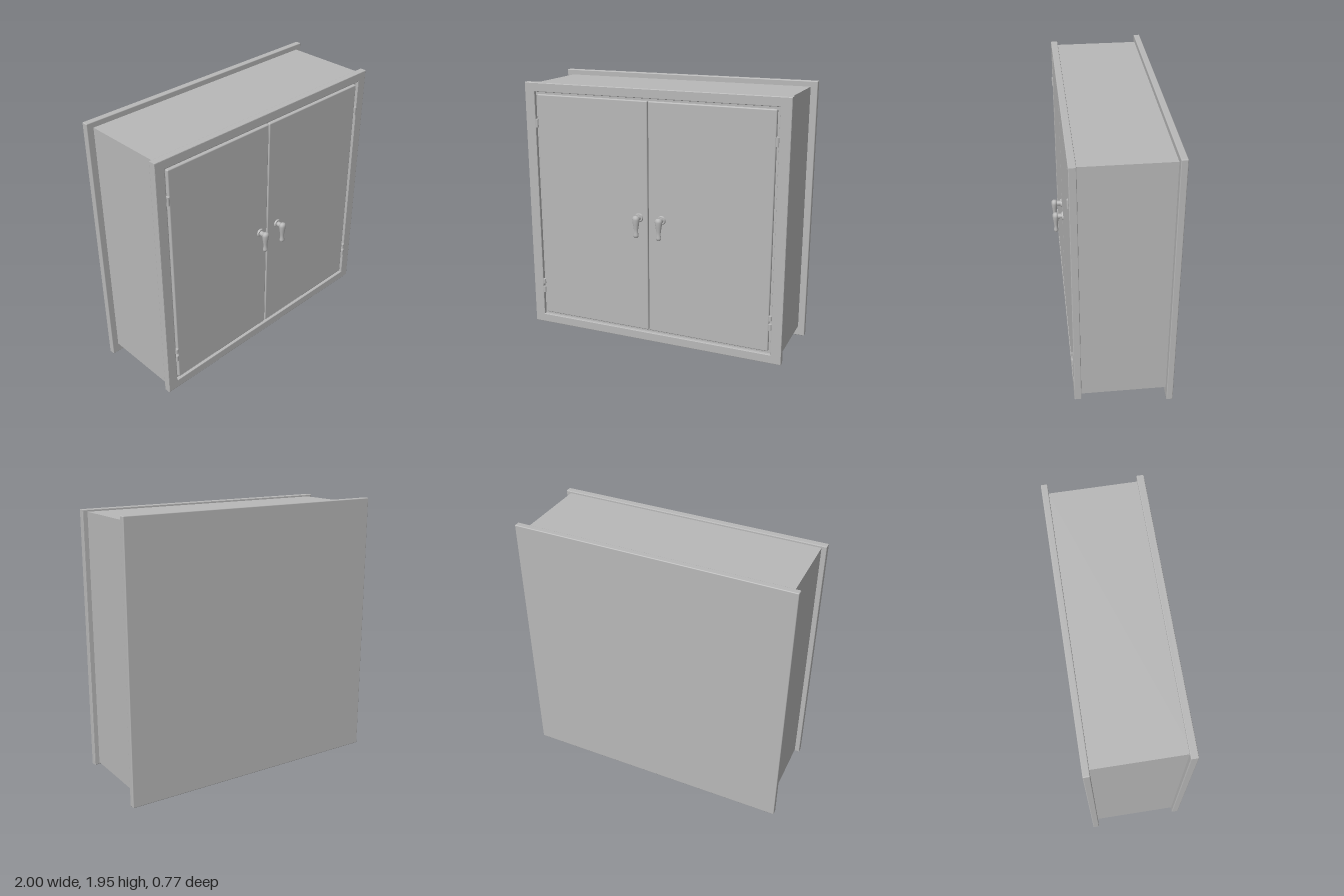
import * as THREE from 'three';
import { RoundedBoxGeometry } from 'three/addons/geometries/RoundedBoxGeometry.js';

export function createModel() {
  const group = new THREE.Group();
  const grey = new THREE.MeshStandardMaterial({ color: 0xb8b8b8 });
  grey.name = 'grey metal';

  const add = (name, geometry, parent = group) => {
    const mesh = new THREE.Mesh(geometry, grey);
    mesh.name = name;
    parent.add(mesh);
    return mesh;
  };

  // Box given by its limits, with optional softened edges
  const block = (name, [x0, x1], [y0, y1], [z0, z1], radius = 0) => {
    const size = [x1 - x0, y1 - y0, z1 - z0];
    const geometry = radius
      ? new RoundedBoxGeometry(...size, 3, radius)
      : new THREE.BoxGeometry(...size);
    add(name, geometry).position.set((x0 + x1) / 2, (y0 + y1) / 2, (z0 + z1) / 2);
  };

  // Cabinet shell and the wider panel behind it
  block('body', [-0.95, 0.95], [0.075, 1.91], [-0.345, 0.285]);
  block('backPanel', [-1, 1], [0, 1.95], [-0.385, -0.34], 0.006);

  // Front frame with a rectangular opening
  const rectangle = (path, x0, x1, y0, y1) => {
    path.moveTo(x0, y0);
    path.lineTo(x1, y0);
    path.lineTo(x1, y1);
    path.lineTo(x0, y1);
    path.closePath();
    return path;
  };
  const bevel = 0.005;
  const outline = rectangle(new THREE.Shape(), -0.98, 0.98, 0.065, 1.92);
  outline.holes.push(rectangle(new THREE.Path(), -0.912, 0.912, 0.122, 1.863));
  const frame = add('frontFrame', new THREE.ExtrudeGeometry(outline, {
    depth: 0.04, bevelThickness: bevel, bevelSize: bevel, bevelSegments: 2,
  }));
  frame.position.z = 0.265;

  // Two doors with a narrow seam between them
  block('rightDoor', [-0.888, -0.02], [0.147, 1.841], [0.27, 0.308], 0.008);
  block('leftDoor', [-0.014, 0.888], [0.147, 1.841], [0.27, 0.308], 0.008);

  // Hinge knuckles down the outer door edges
  for (const side of [-1, 1]) {
    for (const [y, height] of [[1.63, 0.06], [0.4, 0.035], [0.335, 0.045]]) {
      const hinge = add('hinge', new THREE.CylinderGeometry(0.013, 0.013, height, 12));
      hinge.position.set(side * 0.897, y, 0.306);
    }
  }

  // Drop handles: base disc, stem and a waisted lever
  const leverProfile = [
    [0, -0.135], [0.012, -0.133], [0.019, -0.124], [0.019, -0.112], [0.015, -0.095],
    [0.016, -0.07], [0.022, -0.035], [0.027, 0], [0.025, 0.014], [0.017, 0.024], [0, 0.028],
  ].map(([r, y]) => new THREE.Vector2(r, y));
  for (const x of [-0.087, 0.087]) {
    const handle = new THREE.Group();
    handle.name = 'handle';
    handle.position.set(x, 1.008, 0.3);
    group.add(handle);
    const base = add('handleBase', new THREE.CylinderGeometry(0.028, 0.036, 0.018, 20), handle);
    base.rotation.x = Math.PI / 2;
    base.position.z = 0.009;
    const stem = add('handleStem', new THREE.CylinderGeometry(0.018, 0.018, 0.055, 16), handle);
    stem.rotation.x = Math.PI / 2;
    stem.position.z = 0.035;
    const lever = add('handleLever', new THREE.LatheGeometry(leverProfile, 20), handle);
    lever.scale.z = 0.85;
    lever.position.z = 0.062;
  }
  return group;
}
